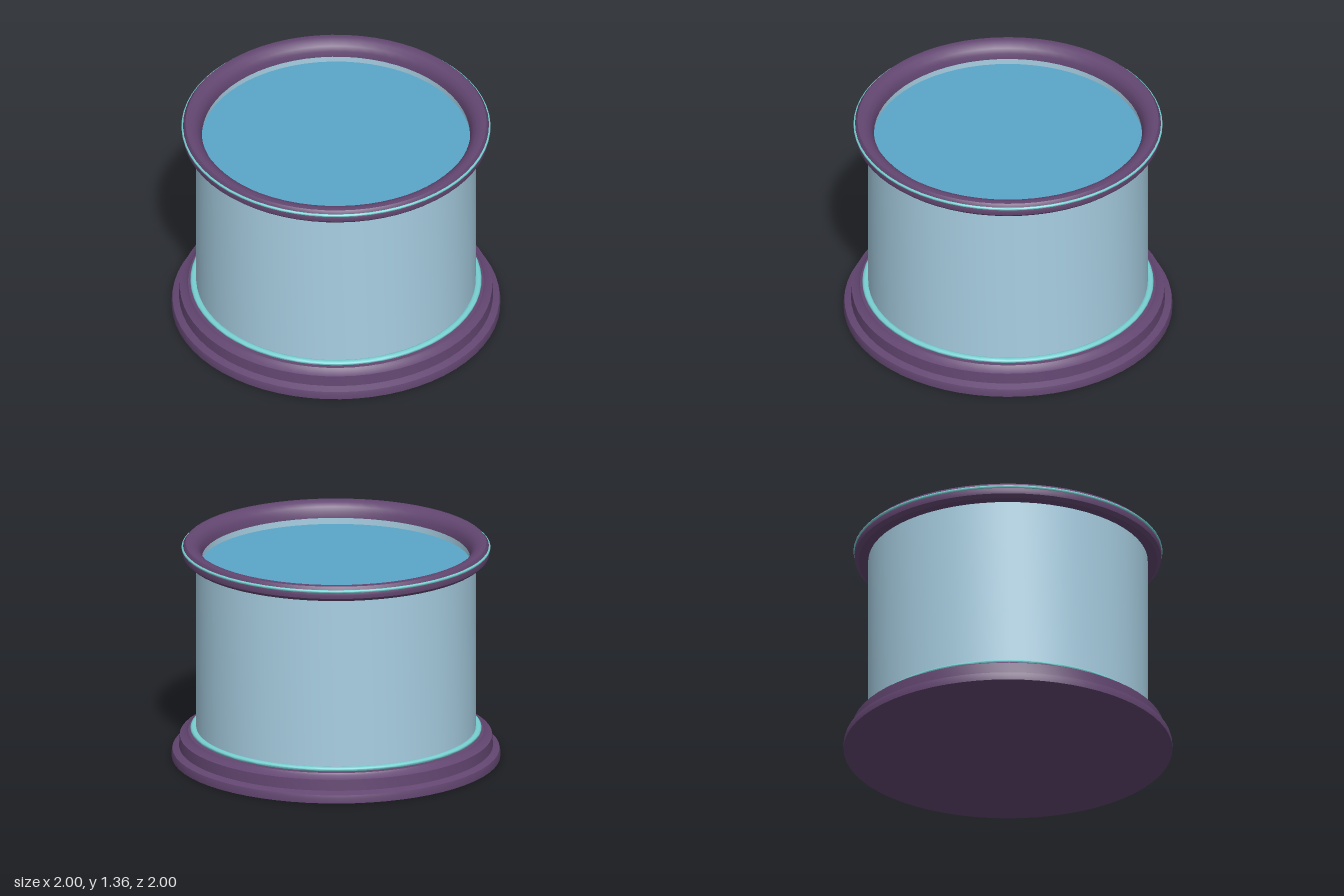
import * as THREE from 'three';
import { toCreasedNormals } from 'three/addons/utils/BufferGeometryUtils.js';

const material = (name, color) => {
  const m = new THREE.MeshStandardMaterial({ color });
  m.name = name;
  return m;
};

export function createModel() {
  const group = new THREE.Group();
  const purple = material('purple trim', 0x634671);
  const teal = material('teal bead', 0x78d0d2);
  const glass = material('pale glass', 0xa8cfe3);
  const water = material('blue water', 0x5aa6c9);

  // Spins a profile of [radius, height] points, listed upwards on the outside
  const turned = (name, mat, profile, crease = 0.6) => {
    const points = profile.map(([r, y]) => new THREE.Vector2(r, y));
    const geometry = toCreasedNormals(new THREE.LatheGeometry(points, 64), crease);
    const mesh = new THREE.Mesh(geometry, mat);
    mesh.name = name;
    group.add(mesh);
  };

  // Thin rounded band that wraps a moulding
  const bead = (name, radius, y, width, height) => {
    const geometry = new THREE.TorusGeometry(radius, 1, 10, 64);
    geometry.dispose();
    const profile = [];
    for (let i = 0; i <= 12; i++) {
      const a = (i / 12) * Math.PI * 2 - Math.PI / 2;
      profile.push([radius + Math.cos(a) * width, y + Math.sin(a) * height]);
    }
    turned(name, teal, profile, 1);
  };

  // Stepped plinth with a closed underside
  turned('base', purple, [
    [0, 0], [1, 0], [1, 0.03], [0.995, 0.05], [0.955, 0.067], [0.95, 0.135],
    [0.91, 0.15], [0.9, 0.163], [0.84, 0.165],
  ]);
  bead('baseBead', 0.865, 0.177, 0.021, 0.014);

  // Hollow cylinder wall and its contents
  turned('glassWall', glass, [
    [0.85, 0.15], [0.85, 1.28], [0.822, 1.28], [0.822, 0.15], [0.85, 0.15],
  ]);
  turned('water', water, [[0, 0.16], [0.821, 0.16], [0.821, 1.22], [0, 1.22]]);

  // Rounded rim moulding
  turned('rim', purple, [
    [0.815, 1.26], [0.91, 1.26], [0.932, 1.28], [0.935, 1.3], [0.93, 1.335],
    [0.915, 1.353], [0.89, 1.356], [0.86, 1.347], [0.835, 1.325],
    [0.82, 1.295], [0.815, 1.26],
  ]);
  bead('rimBead', 0.928, 1.325, 0.012, 0.01);

  return group;
}
